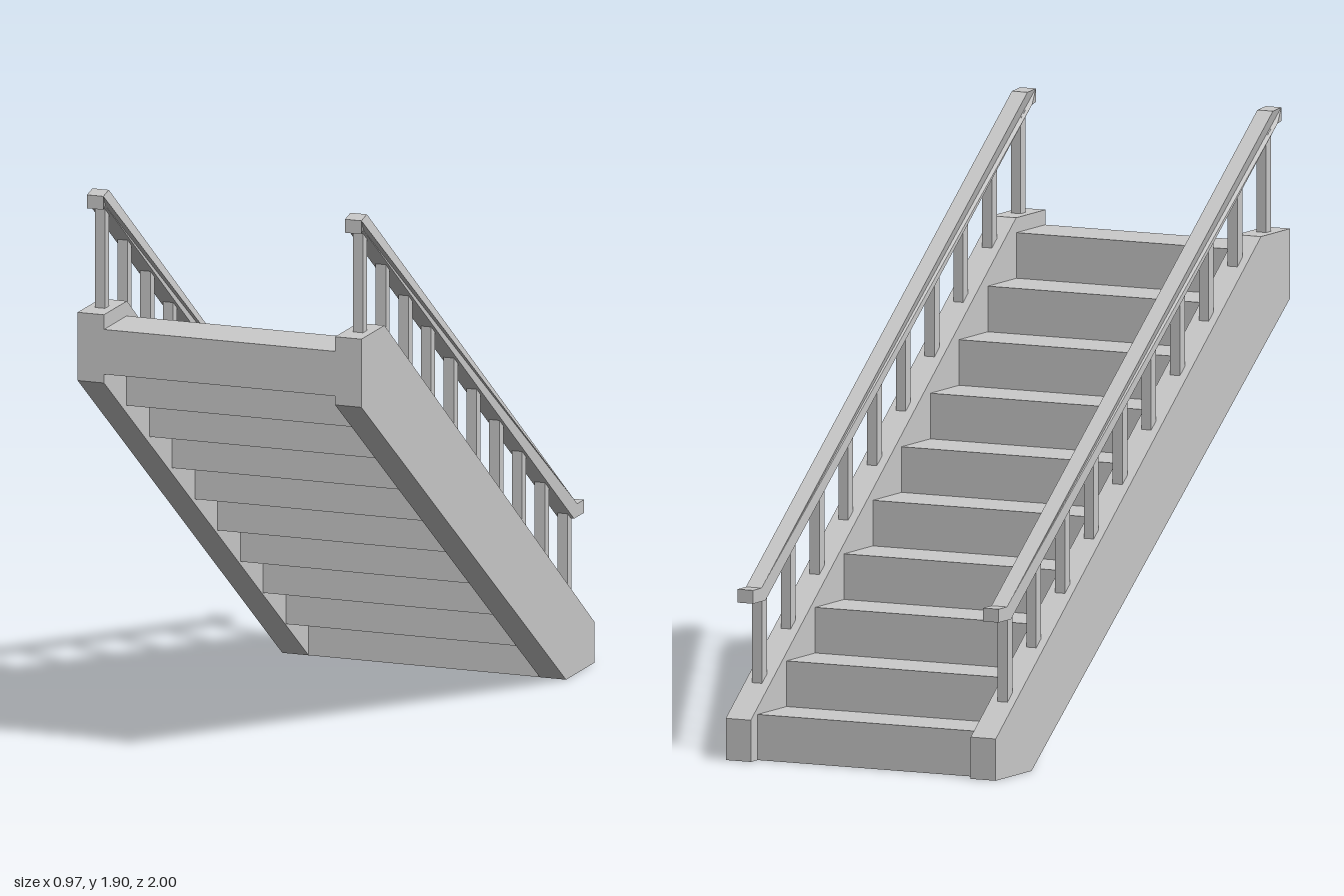
import * as THREE from 'three';

const material = new THREE.MeshStandardMaterial({ color: 0xcccccc, flatShading: true });

// Side profile given as [z, y] points, extruded across x and centred on x
function profileMesh(name, points, width, x) {
  const shape = new THREE.Shape(points.map(([z, y]) => new THREE.Vector2(z, y)));
  const geometry = new THREE.ExtrudeGeometry(shape, { depth: width, bevelEnabled: false });
  geometry.translate(0, 0, -width / 2).rotateY(-Math.PI / 2).translate(x, 0, 0);
  const mesh = new THREE.Mesh(geometry, material);
  mesh.name = name;
  return mesh;
}

// Height at z on the line through two [z, y] points
const lineAt = ([z0, y0], [z1, y1], z) => y0 + ((z - z0) * (y1 - y0)) / (z1 - z0);

export function createModel() {
  const model = new THREE.Group();
  model.name = 'staircase';

  // Steps: ten stacked blocks climbing towards +z
  const count = 10, rise = 0.1465, run = 0.1953, startZ = -0.953;
  const steps = new THREE.Group();
  steps.name = 'steps';
  for (let i = 0; i < count; i++) {
    const step = new THREE.Mesh(new THREE.BoxGeometry(0.79, rise, run), material);
    step.name = 'step';
    step.position.set(0, (i + 0.5) * rise, startZ + (i + 0.5) * run);
    steps.add(step);
  }
  model.add(steps);

  const stringerTop = [[-1, 0.134], [0.802, 1.513]];
  const railUnder = [[-0.866, 0.5], [0.944, 1.856]];
  const stringer = [[-0.757, 0], [1, 1.29], [1, 1.513], stringerTop[1], stringerTop[0], [-1, 0]];
  const rail = [
    [-0.95, 0.5], railUnder[0], railUnder[1], [1, 1.856],
    [1, 1.9], [0.913, 1.9], [-0.893, 0.543], [-0.95, 0.543],
  ];

  for (const side of [-1, 1]) {
    const label = side > 0 ? 'left' : 'right';
    const railX = side * 0.441;

    // Solid side board
    model.add(profileMesh(label + 'Stringer', stringer, 0.09, side * 0.44));

    // Handrail, its upper tip skewed slightly towards +x on both sides
    const handrail = profileMesh(label + 'Handrail', rail, 0.056, railX);
    const position = handrail.geometry.attributes.position;
    for (let i = 0; i < position.count; i++) {
      if (position.getZ(i) > 0.99) position.setX(i, position.getX(i) + 0.016);
    }
    handrail.geometry.computeVertexNormals();
    model.add(handrail);

    // Balusters cut to the slope of the board and the rail
    const balusters = new THREE.Group();
    balusters.name = label + 'Balusters';
    for (let i = 0; i < count; i++) {
      const z = 0.903 - i * 0.1952;
      const back = z - 0.0165, front = z + 0.0165;
      const foot = (at) => Math.min(1.513, lineAt(...stringerTop, at)) - 0.005;
      const head = (at) => lineAt(...railUnder, at) + 0.005;
      balusters.add(profileMesh('baluster', [
        [back, foot(back)], [front, foot(front)], [front, head(front)], [back, head(back)],
      ], 0.035, railX));
    }
    model.add(balusters);
  }
  return model;
}
